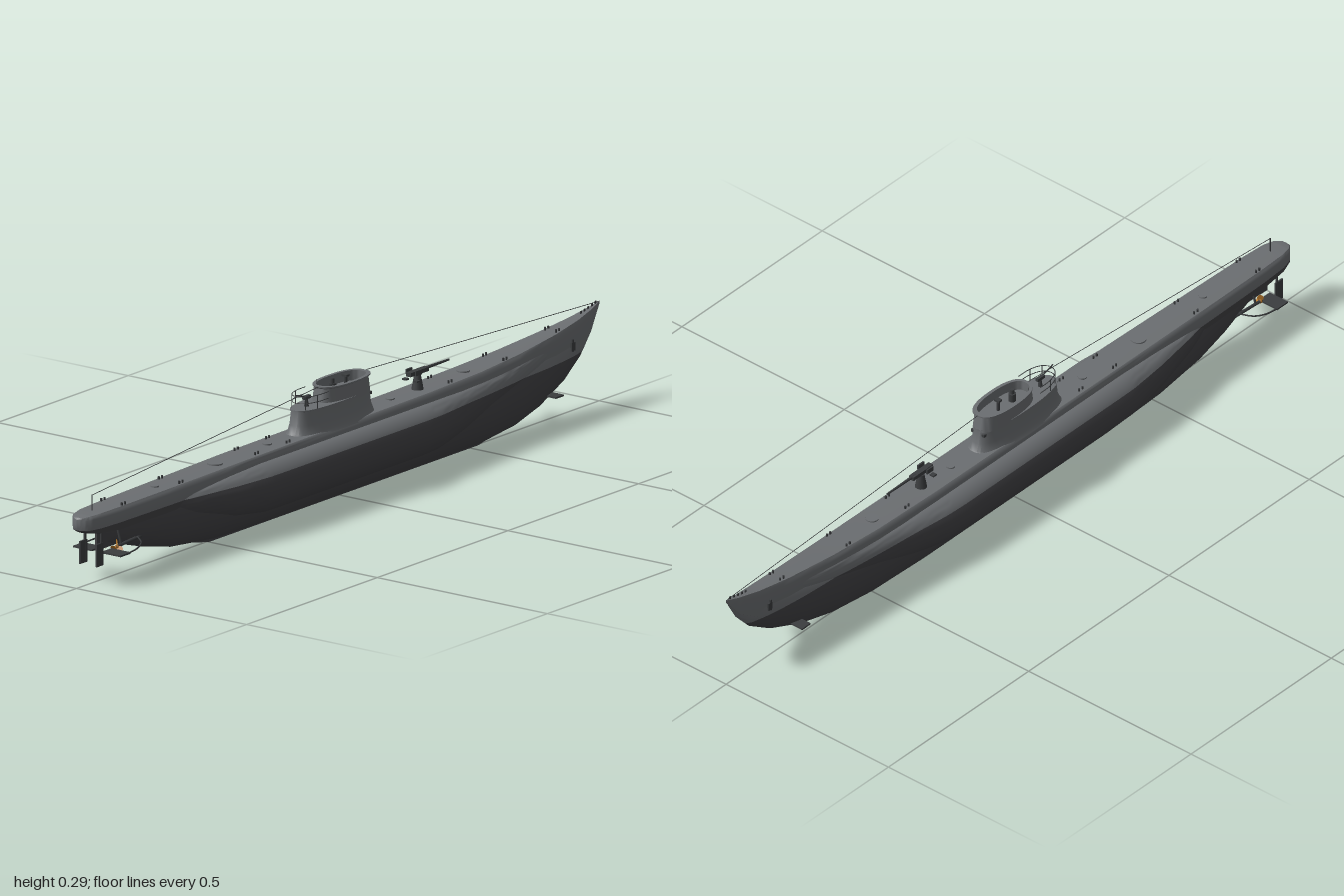
import * as THREE from 'three';
import { toCreasedNormals } from 'three/addons/utils/BufferGeometryUtils.js';

const flat = (name, color, side = THREE.FrontSide) => {
  const m = new THREE.MeshStandardMaterial({ color, side });
  m.name = name;
  return m;
};
const V = (x, y, z) => new THREE.Vector3(x, y, z);
const WATERLINE = 0.14;

// Skin a list of closed rings, each an array of Vector3.
function loft(rings, crease = 0.6) {
  const n = rings[0].length, pos = [], index = [];
  rings.forEach(r => r.forEach(p => pos.push(p.x, p.y, p.z)));
  for (let i = 0; i < rings.length - 1; i++) {
    for (let j = 0; j < n; j++) {
      const a = i * n + j, b = i * n + (j + 1) % n;
      index.push(a, a + n, b + n, a, b + n, b);
    }
  }
  const g = new THREE.BufferGeometry();
  g.setAttribute('position', new THREE.Float32BufferAttribute(pos, 3));
  g.setIndex(index);
  return toCreasedNormals(g, crease);
}

// Keep the part of a half section [z, y] below or above the waterline.
function clip(half, below) {
  const k = half.findIndex(p => p[1] > WATERLINE);
  let cut = k < 0 ? half[half.length - 1] : half[0];
  if (k > 0) {
    const [p, q] = [half[k - 1], half[k]], t = (WATERLINE - p[1]) / (q[1] - p[1]);
    cut = [p[0] + (q[0] - p[0]) * t, WATERLINE];
  }
  return half.map(p => ((p[1] <= WATERLINE) === below ? p : cut));
}

// Insert linear steps between stations.
function refine(stations, steps = 4) {
  const out = [];
  for (let i = 0; i < stations.length - 1; i++) {
    for (let k = 0; k < steps; k++) {
      out.push(stations[i].map((v, c) => v + (stations[i + 1][c] - v) * k / steps));
    }
  }
  out.push(stations[stations.length - 1]);
  return out;
}

// Half ellipse bulging to +z from an inner offset.
function ellipse(yb, yt, w, inner = 0) {
  return Array.from({ length: 21 }, (_, i) => {
    const a = Math.PI * i / 20;
    return [inner + w * Math.sin(a), (yb + yt) / 2 - (yt - yb) / 2 * Math.cos(a)];
  });
}

export function createModel() {
  const model = new THREE.Group();
  model.name = 'submarine';
  const upper = flat('upperGrey', 0x6b6e71, THREE.DoubleSide);
  const lower = flat('lowerGrey', 0x414144, THREE.DoubleSide);
  const metal = flat('darkMetal', 0x3b3d3f);
  const brass = flat('brass', 0xb5762a, THREE.DoubleSide);

  const add = (name, geo, mat, x = 0, y = 0, z = 0) => {
    const m = new THREE.Mesh(geo, mat);
    m.name = name;
    m.position.set(x, y, z);
    model.add(m);
    return m;
  };
  const box = (name, mat, sx, sy, sz, x, y, z = 0) => add(name, new THREE.BoxGeometry(sx, sy, sz), mat, x, y, z);
  const post = (name, mat, r, y0, y1, x, z = 0, r2 = r) =>
    add(name, new THREE.CylinderGeometry(r2, r, y1 - y0, 12), mat, x, (y0 + y1) / 2, z);
  const tube = (name, mat, r, pts, seg = 16) =>
    add(name, new THREE.TubeGeometry(new THREE.CatmullRomCurve3(pts.map(p => V(...p))), seg, r, 6), mat);

  // Two-colour body lofted along x, mirrored across the centreline
  const body = (name, stations, section) => {
    for (const below of [true, false]) {
      const rings = refine(stations).map(s => {
        const half = clip(section(s), below);
        return [...half.map(p => V(s[0], p[1], p[0])), ...half.map(p => V(s[0], p[1], -p[0])).reverse()];
      });
      add(name + (below ? 'Lower' : 'Upper'), loft(rings), below ? lower : upper);
    }
  };

  // Main hull: x, bottom, top, half width
  body('hull', [
    [-0.90, 0.088, 0.12, 0], [-0.85, 0.075, 0.14, 0.015], [-0.75, 0.045, 0.155, 0.035],
    [-0.65, 0.022, 0.16, 0.048], [-0.5, 0.007, 0.165, 0.06], [-0.3, 0.005, 0.165, 0.069],
    [0.35, 0.005, 0.167, 0.069], [0.52, 0.006, 0.17, 0.062], [0.65, 0.017, 0.175, 0.051],
    [0.75, 0.04, 0.185, 0.04], [0.85, 0.08, 0.193, 0.026], [0.92, 0.125, 0.207, 0.014],
    [0.965, 0.175, 0.222, 0.007], [0.992, 0.222, 0.236, 0.001],
  ], ([, yb, yt, w]) => ellipse(yb, yt, w));

  // Saddle tanks
  body('saddleTank', [
    [-0.7, 0.115, 0.145, 0, 0.03], [-0.6, 0.09, 0.152, 0.02, 0.035], [-0.47, 0.06, 0.16, 0.039, 0.04],
    [-0.36, 0.046, 0.165, 0.052, 0.04], [-0.3, 0.045, 0.165, 0.053, 0.04], [0.24, 0.045, 0.165, 0.053, 0.04],
    [0.3, 0.047, 0.165, 0.05, 0.04], [0.42, 0.065, 0.165, 0.036, 0.037], [0.57, 0.1, 0.17, 0.02, 0.034],
    [0.72, 0.14, 0.182, 0.008, 0.028], [0.88, 0.19, 0.205, 0, 0.015],
  ], ([, yb, yt, w, inner]) => ellipse(yb, yt, w, inner));

  // Deck casing
  const casing = [
    [-1, 0.145, 0.165, 0], [-0.995, 0.136, 0.17, 0.014], [-0.98, 0.13, 0.173, 0.027],
    [-0.95, 0.122, 0.175, 0.035], [-0.88, 0.115, 0.176, 0.039], [-0.7, 0.115, 0.178, 0.042],
    [-0.4, 0.12, 0.182, 0.046], [0.3, 0.12, 0.186, 0.046], [0.5, 0.12, 0.19, 0.044],
    [0.65, 0.13, 0.197, 0.038], [0.8, 0.13, 0.209, 0.028], [0.9, 0.137, 0.221, 0.018],
    [0.96, 0.178, 0.232, 0.009], [1, 0.236, 0.242, 0.001],
  ];
  body('deckCasing', casing, ([, yb, yt, w]) => {
    const h = yt - yb;
    return [[0, yb], [w * 0.95, yb + 0.12 * h], [w, yb + 0.5 * h], [w, yb + 0.82 * h],
      [w * 0.95, yb + 0.94 * h], [w * 0.85, yt], [0, yt + 0.001]];
  });
  const deckY = x => {
    const i = Math.max(1, casing.findIndex(s => s[0] >= x)), [a, b] = [casing[i - 1], casing[i]];
    return a[2] + (b[2] - a[2]) * (x - a[0]) / (b[0] - a[0]);
  };

  // Keel bar
  const keel = new THREE.Shape([[-0.6, 0.02], [-0.5, 0], [0.53, 0], [0.66, 0.025]].map(p => new THREE.Vector2(...p)));
  add('keel', new THREE.ExtrudeGeometry(keel, { depth: 0.011, bevelEnabled: false }), lower, 0, 0, -0.0055);

  // Conning tower, stacked outlines: y, aft x, fore x, half width
  const tower = levels => loft(levels.map(([y, x0, x1, w]) => Array.from({ length: 40 }, (_, i) => {
    const a = i / 40 * Math.PI * 2, c = Math.cos(a), s = Math.sin(a);
    return V((x0 + x1) / 2 + (x1 - x0) / 2 * Math.sign(c) * Math.abs(c) ** 0.85, y, w * Math.sign(s) * Math.abs(s) ** 0.75);
  })));
  add('towerBase', tower([
    [0.178, -0.188, 0.132, 0.046], [0.187, -0.178, 0.12, 0.042], [0.205, -0.17, 0.112, 0.039],
    [0.238, -0.165, 0.106, 0.037], [0.239, -0.168, 0.106, 0.039], [0.242, -0.168, 0.106, 0.039], [0.242, -0.04, -0.03, 0],
  ]), upper);
  add('bridge', tower([
    [0.236, -0.08, 0.106, 0.037], [0.274, -0.074, 0.099, 0.036], [0.277, -0.076, 0.104, 0.041],
    [0.28, -0.076, 0.104, 0.041], [0.28, -0.068, 0.092, 0.033], [0.255, -0.068, 0.092, 0.033], [0.255, 0.01, 0.02, 0],
  ]), upper);
  for (const s of [-1, 1]) box('towerLamp', metal, 0.008, 0.007, 0.009, 0.1, 0.228, s * 0.016);

  // Bridge fittings
  post('periscope', metal, 0.005, 0.255, 0.287, -0.02);
  post('periscopeStand', metal, 0.009, 0.255, 0.276, -0.02);
  post('sightColumn', metal, 0.004, 0.255, 0.283, 0.03);
  box('sightHead', metal, 0.012, 0.005, 0.014, 0.03, 0.283);
  post('aerial', metal, 0.001, 0.255, 0.287, -0.05, -0.025);

  // Aft platform rails and small gun
  for (const y of [0.258, 0.274]) {
    tube('platformRail', metal, 0.001, [[-0.08, y, 0.034], [-0.12, y, 0.032], [-0.15, y, 0.02], [-0.16, y, 0],
      [-0.15, y, -0.02], [-0.12, y, -0.032], [-0.08, y, -0.034]], 30);
  }
  for (const [x, z] of [[-0.12, 0.032], [-0.15, 0.02], [-0.15, -0.02], [-0.12, -0.032]]) {
    post('railPost', metal, 0.001, 0.24, 0.274, x, z);
  }
  post('smallGunStand', metal, 0.006, 0.24, 0.262, -0.12, 0, 0.003);
  box('smallGunBody', metal, 0.024, 0.008, 0.008, -0.12, 0.264);
  tube('smallGunBarrel', metal, 0.0018, [[-0.12, 0.265, 0], [-0.165, 0.278, 0]], 2);

  // Deck gun
  post('gunPedestal', metal, 0.015, 0.184, 0.222, 0.305, 0, 0.008);
  box('gunCradle', metal, 0.07, 0.01, 0.014, 0.305, 0.229);
  add('gunBarrel', new THREE.CylinderGeometry(0.0025, 0.004, 0.1, 12), metal, 0.375, 0.231, 0).rotation.z = -Math.PI / 2;
  for (const s of [-1, 1]) {
    box('gunSight', metal, 0.022, 0.012, 0.004, 0.29, 0.232, s * 0.014);
    box('gunSeat', metal, 0.012, 0.004, 0.012, 0.28, 0.214, s * 0.016);
  }

  // Deck hatches and bollards
  for (const [x, r] of [[-0.47, 0.019], [-0.27, 0.011], [0.2, 0.011], [0.48, 0.016], [-0.7, 0.01]]) {
    post('hatch', upper, r, deckY(x) - 0.002, deckY(x) + 0.004, x);
  }
  for (const x of [-0.86, -0.64, -0.35, -0.23, 0.39, 0.6, 0.82]) {
    for (const s of [-1, 1]) for (const d of [-0.006, 0.006]) {
      const w = x > 0.7 ? 0.016 : 0.03;
      post('bollard', metal, 0.0025, deckY(x) - 0.003, deckY(x) + 0.007, x + d, s * w);
    }
  }

  // Bow teeth, anchors and tube shutters
  for (let x = 0.93; x < 0.995; x += 0.014) box('netCutter', metal, 0.005, 0.008, 0.002, x, deckY(x) + 0.003);
  for (const s of [-1, 1]) {
    box('anchor', metal, 0.014, 0.02, 0.006, 0.87, 0.165, s * 0.022);
    box('anchorStock', metal, 0.005, 0.03, 0.005, 0.868, 0.168, s * 0.023);
  }

  // Jumping wires and stern pole
  tube('foreWire', metal, 0.0008, [[0.995, 0.242, 0], [0.1, 0.279, 0]], 2);
  tube('aftWire', metal, 0.0008, [[-0.075, 0.278, 0], [-0.94, 0.213, 0]], 2);
  post('sternPole', metal, 0.0012, 0.172, 0.214, -0.94);

  // Diving planes, rudders, screws and guards on each side
  for (const s of [-1, 1]) {
    box('bowPlane', metal, 0.03, 0.004, 0.045, 0.778, 0.07, s * 0.033);
    box('sternPlane', metal, 0.038, 0.004, 0.056, -0.903, 0.072, s * 0.042);
    box('rudder', metal, 0.026, 0.055, 0.004, -0.943, 0.073, s * 0.024);
    post('rudderPost', metal, 0.003, 0.05, 0.135, -0.936, s * 0.024);
    tube('propellerShaft', metal, 0.004, [[-0.74, 0.085, s * 0.022], [-0.882, 0.078, s * 0.024]], 2);
    tube('shaftBracket', metal, 0.003, [[-0.86, 0.079, s * 0.024], [-0.86, 0.12, s * 0.012]], 2);
    tube('planeGuard', metal, 0.002, [[-0.8, 0.085, s * 0.026], [-0.82, 0.08, s * 0.052],
      [-0.85, 0.075, s * 0.064], [-0.89, 0.072, s * 0.068]]);
    const screw = new THREE.Group();
    screw.name = 'propeller';
    screw.position.set(-0.877, 0.078, s * 0.024);
    for (let i = 0; i < 3; i++) {
      const arm = new THREE.Group(), blade = new THREE.Mesh(new THREE.CircleGeometry(0.008, 12), brass);
      blade.name = 'blade';
      blade.position.y = 0.01;
      blade.rotation.y = s * 0.9;
      arm.rotation.x = i * Math.PI * 2 / 3;
      arm.add(blade);
      screw.add(arm);
    }
    const hub = new THREE.Mesh(new THREE.SphereGeometry(0.005, 12, 8), brass);
    hub.name = 'hub';
    screw.add(hub);
    model.add(screw);
  }
  box('sternFin', lower, 0.09, 0.05, 0.006, -0.88, 0.1);

  return model;
}
